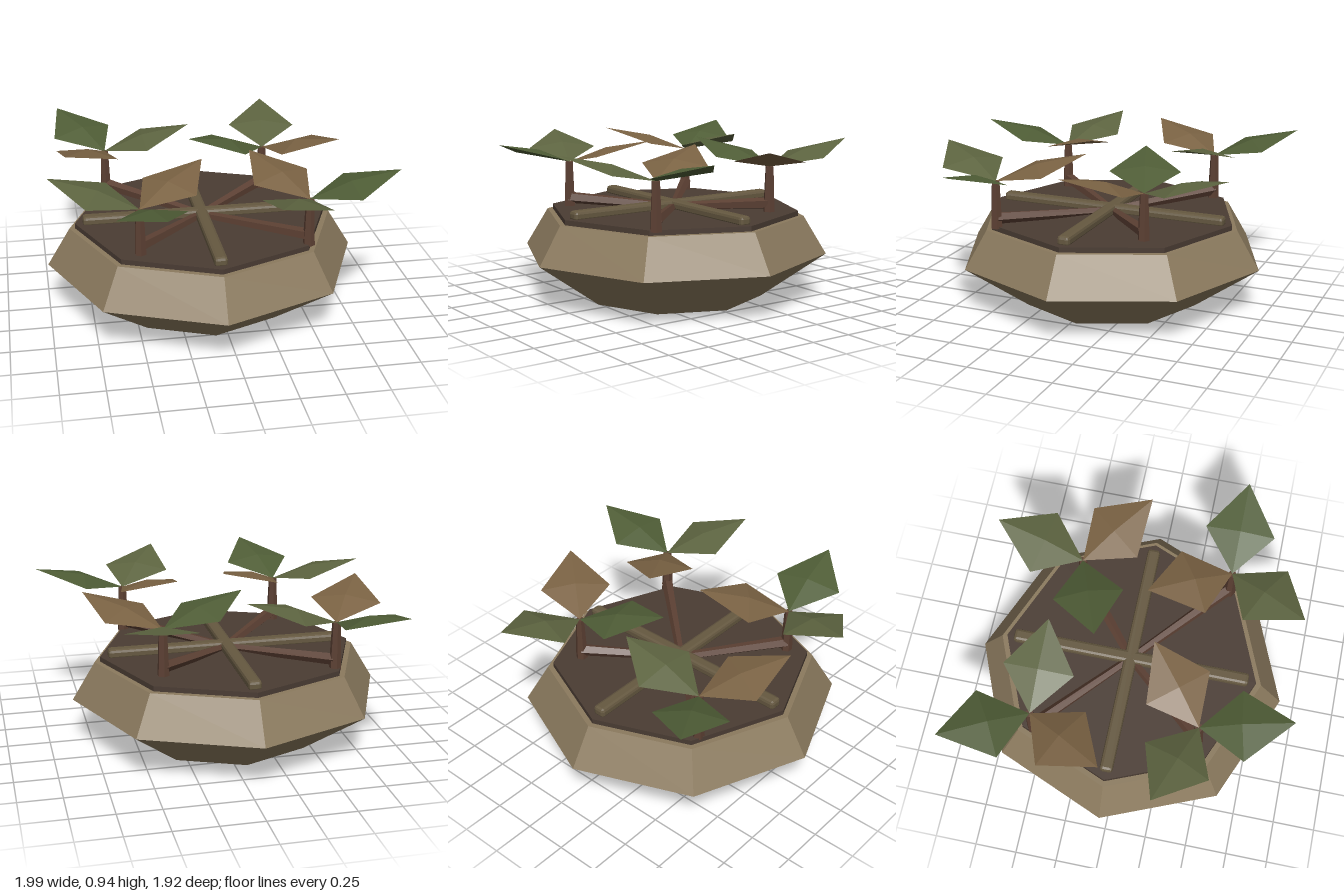
import * as THREE from 'three';
import { RoundedBoxGeometry } from 'three/addons/geometries/RoundedBoxGeometry.js';

const CX = -0.07, CZ = -0.03; // planter axis

const flat = (color, side = THREE.FrontSide) =>
  new THREE.MeshStandardMaterial({ color, flatShading: true, side });

const mats = {
  pot: flat(0x8b7a5e),
  soil: flat(0x4a3c33),
  wood: flat(0x5c4033),
  edging: flat(0x655840),
  green: flat(0x4f5d36, THREE.DoubleSide),
  olive: flat(0x5d6440, THREE.DoubleSide),
  brown: flat(0x7a6243, THREE.DoubleSide),
};

function add(parent, name, geometry, material, x = 0, y = 0, z = 0) {
  const mesh = new THREE.Mesh(geometry, material);
  mesh.name = name;
  mesh.position.set(x, y, z);
  parent.add(mesh);
  return mesh;
}

// Tapered stick from a to b
function stick(parent, name, a, b, ra, rb, sides, material) {
  const dir = b.clone().sub(a);
  const mesh = add(parent, name, new THREE.CylinderGeometry(rb, ra, dir.length(), sides), material);
  mesh.position.copy(a).addScaledVector(dir, 0.5);
  mesh.quaternion.setFromUnitVectors(new THREE.Vector3(0, 1, 0), dir.normalize());
  return mesh;
}

// Kite-shaped leaf along +x, folded around a raised middle point
function leafGeometry() {
  const geo = new THREE.BufferGeometry();
  geo.setAttribute('position', new THREE.Float32BufferAttribute([
    0, 0, 0,
    0.245, 0.06, 0.205,
    0.525, 0.145, 0,
    0.245, 0.06, -0.205,
    0.235, 0.095, 0,
  ], 3));
  geo.setIndex([0, 1, 4, 1, 2, 4, 2, 3, 4, 3, 0, 4]);
  geo.computeVertexNormals();
  return geo;
}

export function createModel() {
  const model = new THREE.Group();
  model.name = 'planter';

  // Eight-sided pot and soil
  const profile = [[0, 0], [0.54, 0], [0.927, 0.275], [0.79, 0.5], [0, 0.5]]
    .map(([r, y]) => new THREE.Vector2(r, y));
  add(model, 'pot', new THREE.LatheGeometry(profile, 8), mats.pot, CX, 0, CZ);
  add(model, 'soil', new THREE.CylinderGeometry(0.757, 0.757, 0.04, 8), mats.soil, CX, 0.51, CZ);

  // Crossed dividers lying on the soil
  for (const turn of [0, Math.PI / 2]) {
    const bar = add(model, 'divider', new RoundedBoxGeometry(1.42, 0.06, 0.076, 1, 0.018),
      mats.edging, CX, 0.547, CZ);
    bar.rotation.y = turn;
  }

  // Four saplings: position, first leaf angle in degrees, leaf colours at 120 degree steps
  const trees = [
    [-0.6, -0.5, 0, ['olive', 'brown', 'green']],
    [0.38, -0.41, 40, ['brown', 'green', 'olive']],
    [-0.49, 0.45, 80, ['green', 'olive', 'brown']],
    [0.473, 0.467, 0, ['green', 'olive', 'brown']],
  ];
  const leafGeo = leafGeometry();
  for (const [x, z, start, colours] of trees) {
    const tree = new THREE.Group();
    tree.name = 'sapling';
    tree.position.set(x, 0, z);
    model.add(tree);
    stick(tree, 'trunk', new THREE.Vector3(0, 0.52, 0), new THREE.Vector3(0, 0.8, 0),
      0.036, 0.025, 6, mats.wood);
    stick(tree, 'root', new THREE.Vector3(0, 0.58, 0), new THREE.Vector3(CX - x, 0.535, CZ - z),
      0.036, 0.024, 5, mats.wood);
    colours.forEach((colour, i) => {
      const leaf = add(tree, 'leaf', leafGeo, mats[colour], 0, 0.8, 0);
      leaf.rotation.y = -THREE.MathUtils.degToRad(start + i * 120);
    });
  }
  return model;
}
